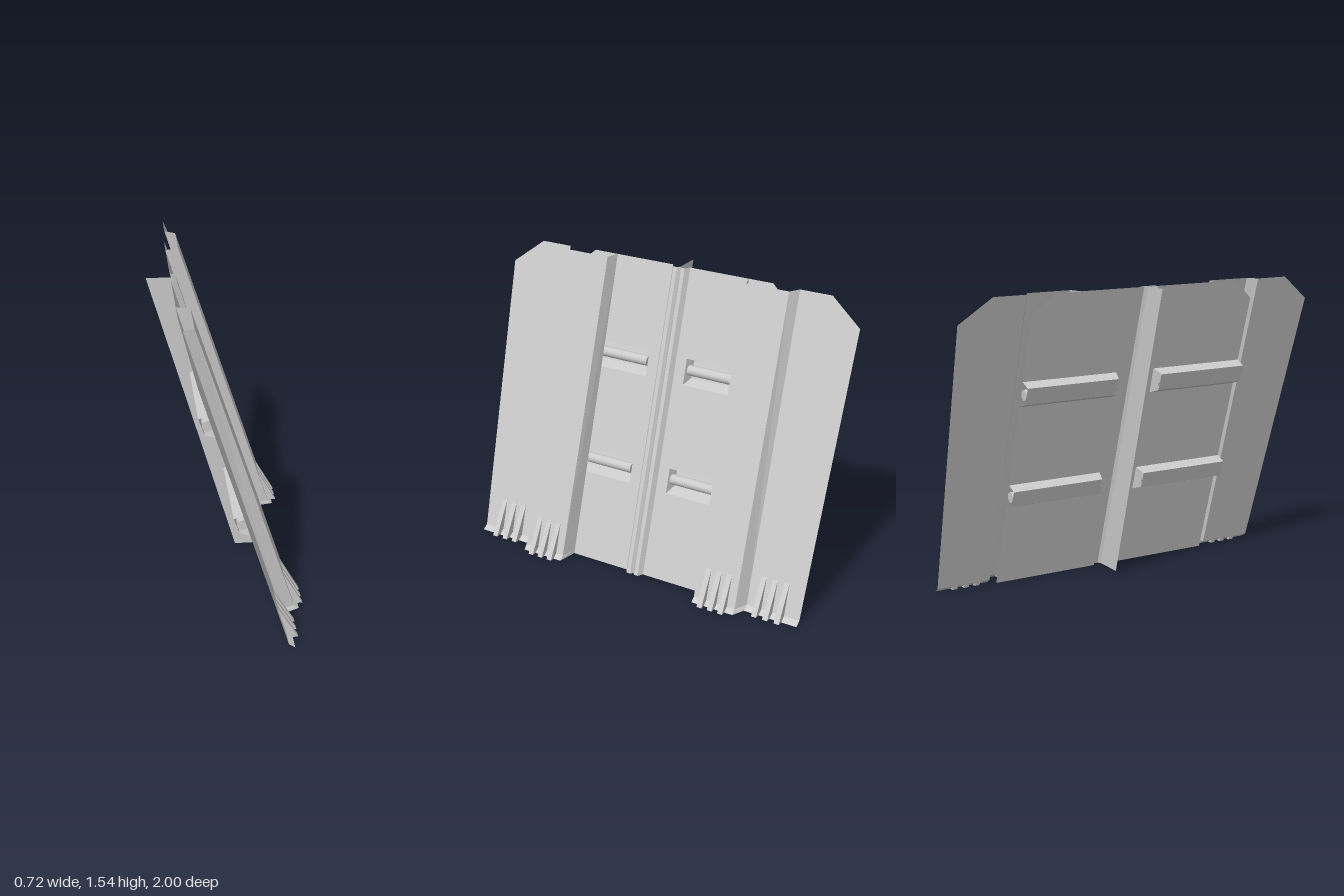
import * as THREE from 'three';

const H = 1.545, LIP = 0.02;
const mat = () => new THREE.MeshStandardMaterial({ color: 0xcccccc, flatShading: true, side: THREE.DoubleSide });

// Mesh made of flat convex polygons, each a short list of [x, y, z] corners
function faces(name, polys) {
  const pos = [];
  for (const p of polys)
    for (let i = 1; i < p.length - 1; i++) pos.push(...p[0], ...p[i], ...p[i + 1]);
  const g = new THREE.BufferGeometry();
  g.setAttribute('position', new THREE.Float32BufferAttribute(pos, 3));
  g.computeVertexNormals();
  const mesh = new THREE.Mesh(g, mat());
  mesh.name = name;
  return mesh;
}

// Leaning planes: x as a function of height
const plane = (top, bottom) => (y) => top + (bottom - top) * (H - y) / H;
const midX = plane(-0.243, 0.23);
const outerX = plane(-0.23, 0.245);
const ribX = plane(-0.176, 0.316);
const withLip = (fn, lipX) => (y) => (y < LIP ? lipX : fn(y));
const outerLip = withLip(outerX, 0.27), ribLip = withLip(ribX, 0.335);

// Vertical strip between two columns (z, x function), broken at the given heights
function strip(za, fa, zb, fb, ys) {
  const out = [];
  for (let i = 0; i < ys.length - 1; i++) {
    const [t, b] = [ys[i], ys[i + 1]];
    out.push([[fa(t), t, za], [fb(t), t, zb], [fb(b), b, zb], [fa(b), b, za]]);
  }
  return out;
}

// Closed prism from an xy profile between two z values
function prism(profile, z0, z1) {
  const a = profile.map(([x, y]) => [x, y, z0]), b = profile.map(([x, y]) => [x, y, z1]);
  const sides = a.map((p, i) => {
    const j = (i + 1) % a.length;
    return [p, a[j], b[j], b[i]];
  });
  return [a, b, ...sides];
}

const WINDOWS = [[1.11, 0.98], [0.56, 0.435]];

function makeSide(s) {
  const side = new THREE.Group();
  side.name = s > 0 ? 'frontHalf' : 'backHalf';
  const rows = [H, LIP, 0];

  // Middle sheet with window slots and a clipped top corner
  const m = (z, y) => [midX(y), y, s * z];
  const band = (t, b) => [m(0.11, t), m(0.63, t), m(0.63, b), m(0.11, b)];
  side.add(faces('middlePanel', [
    ...strip(s * 0.05, midX, s * 0.11, midX, [H, 0]),
    [m(0.11, H), m(0.515, H), m(0.63, 1.445), m(0.63, 1.11), m(0.11, 1.11)],
    band(0.98, 0.56), band(0.435, 0),
  ]));

  // Raised rib with sloped flanks and flared foot
  side.add(faces('raisedRib', [
    ...strip(s * 0.38, midX, s * 0.4, ribLip, rows),
    ...strip(s * 0.4, ribLip, s * 0.632, ribLip, rows),
    ...strip(s * 0.632, ribLip, s * 0.664, outerLip, rows),
  ]));

  // Outer wing with clipped corner
  const o = (z, y) => [outerLip(y), y, s * z];
  side.add(faces('outerPanel', [
    [o(0.664, H), o(0.835, H), o(1, 1.42), o(0.955, LIP), o(0.664, LIP)],
    [o(0.664, LIP), o(0.955, LIP), o(0.955, 0), o(0.664, 0)],
  ]));

  // Wedge teeth along the foot
  const teeth = [[0.574, 0.516, 0.457, ribX, 0.36], [0.857, 0.793, 0.732, outerX, 0.297]];
  for (const [z1, z2, z3, fn, tip] of teeth)
    for (const z of [z1, z2, z3]) {
      const profile = [[fn(0.178), 0.178], [tip, 0], [fn(0), 0]];
      side.add(faces('footTooth', prism(profile, s * (z - 0.014), s * (z + 0.014))));
    }

  // Recessed channels, each holding a round bar
  for (const [t, b] of WINDOWS) {
    const bt = [midX(t) - 0.053, t - 0.024], bb = [midX(b) - 0.062, b + 0.02];
    const prof = [[midX(t), t], bt, bb, [midX(b), b]];
    const inner = prof.map(([x, y], i) => [x, y, s * (i === 1 || i === 2 ? 0.125 : 0.11)]);
    const end = prof.map(([x, y]) => [x, y, s * 0.63]);
    const walls = [0, 1, 2].map((i) => [inner[i], inner[i + 1], end[i + 1], end[i]]);
    side.add(faces('recessChannel', [inner, ...walls]));

    const yc = (t + b) / 2 + 0.002;
    const barMat = mat();
    barMat.flatShading = false;
    const bar = new THREE.Mesh(new THREE.CylinderGeometry(0.027, 0.027, 0.51, 16), barMat);
    bar.name = 'gripBar';
    bar.rotation.x = Math.PI / 2;
    bar.position.set(midX(yc) - 0.028, yc, s * 0.375);
    side.add(bar);
  }
  return side;
}

export function createModel() {
  const model = new THREE.Group();
  model.name = 'leaningPanel';
  model.add(makeSide(1), makeSide(-1));

  // Central double ridge with a groove
  const ridge = [[0.05, 0], [0.033, 0.027], [0.012, 0.027], [0, 0.012],
    [-0.012, 0.027], [-0.033, 0.027], [-0.05, 0]];
  const polys = [];
  for (let i = 0; i < ridge.length - 1; i++) {
    const [[za, da], [zb, db]] = [ridge[i], ridge[i + 1]];
    polys.push(...strip(za, (y) => midX(y) + da, zb, (y) => midX(y) + db, [H, 0]));
  }
  model.add(faces('centralRidge', polys));

  // Thin upright fin along the back
  model.add(faces('rearFin', [[[-0.363, H, 0], [-0.231, H, 0], [0.242, 0, 0], [0.082, 0, 0]]]));
  return model;
}
